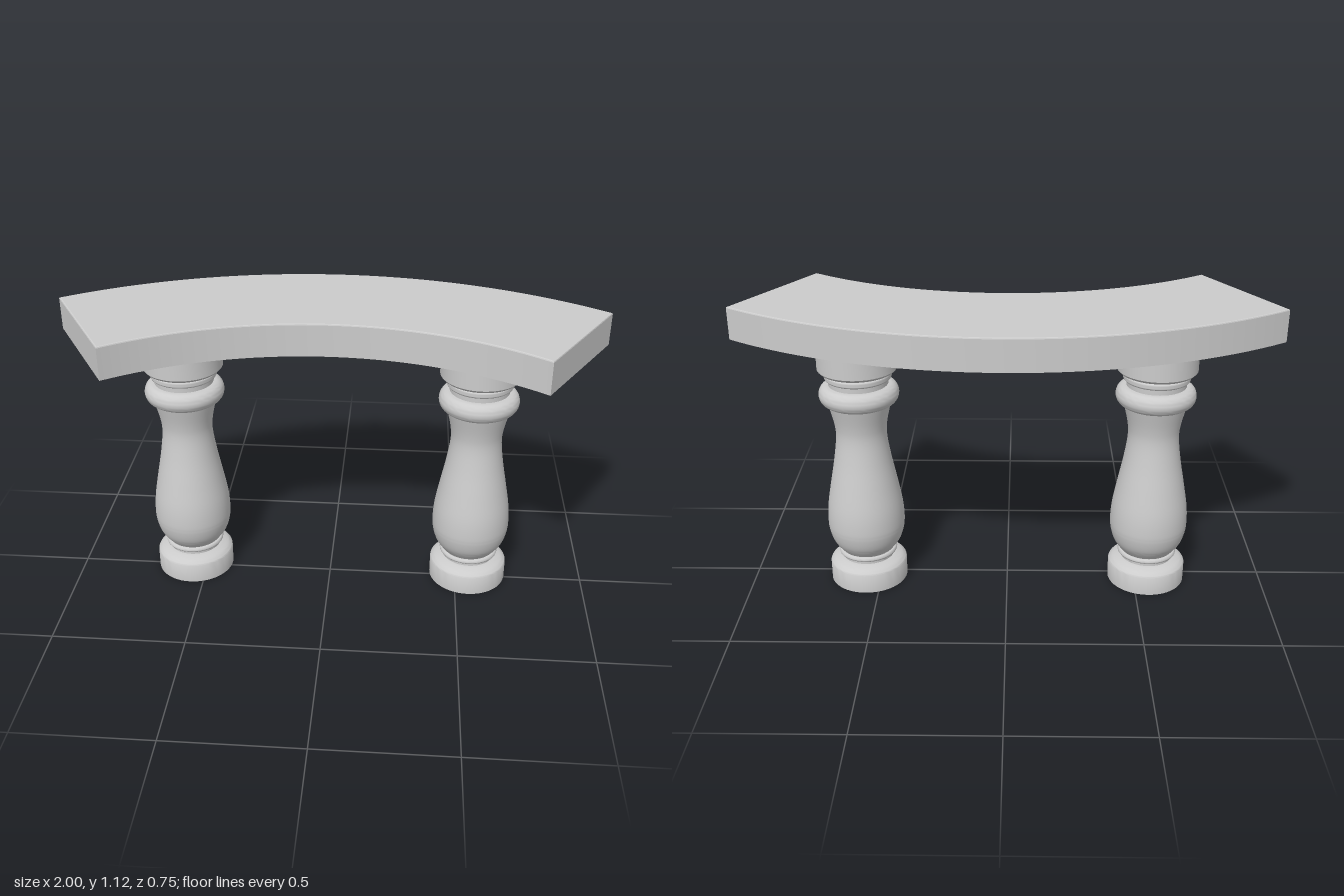
import * as THREE from 'three';
import { toCreasedNormals } from 'three/addons/utils/BufferGeometryUtils.js';

const material = new THREE.MeshStandardMaterial({ color: 0xcccccc });

// Curved slab between two concentric arcs, with a fine bevel on the upper edge
function createSeat() {
  const centre = -1.37, outerR = 1.745, innerR = 1.25;
  const outerA = Math.acos(1 / outerR), innerA = Math.acos(0.75 / innerR);
  const shape = new THREE.Shape();
  shape.absarc(0, centre, outerR, outerA, Math.PI - outerA, false);
  shape.absarc(0, centre, innerR, Math.PI - innerA, innerA, true);

  const bottom = 1.0, top = 1.123, bevel = 0.005;
  const geometry = new THREE.ExtrudeGeometry(shape, {
    depth: top - bottom - bevel, curveSegments: 64,
    bevelEnabled: true, bevelThickness: bevel, bevelSize: bevel, bevelOffset: -bevel, bevelSegments: 2,
  });
  geometry.rotateX(-Math.PI / 2);
  geometry.translate(0, bottom, 0);
  // Flatten the lower bevel so the underside keeps a sharp edge
  const pos = geometry.attributes.position;
  for (let i = 0; i < pos.count; i++) pos.setY(i, Math.max(bottom, pos.getY(i)));
  const seat = new THREE.Mesh(toCreasedNormals(geometry, 0.35), material);
  seat.name = 'seat';
  return seat;
}

// Half-round moulding bulging from radius r by depth d
function bead(r, d, y0, y1, steps = 12) {
  return Array.from({ length: steps + 1 }, (_, i) => {
    const a = (i / steps - 0.5) * Math.PI;
    return [r + d * Math.cos(a), (y0 + y1) / 2 + (y1 - y0) / 2 * Math.sin(a)];
  });
}

// Smooth profile through a few points
function smooth(points, steps) {
  return new THREE.SplineCurve(points.map(p => new THREE.Vector2(...p)))
    .getPoints(steps).map(p => [p.x, p.y]);
}

function turned(name, profile) {
  const lathe = new THREE.LatheGeometry(profile.map(p => new THREE.Vector2(...p)), 48);
  const mesh = new THREE.Mesh(toCreasedNormals(lathe, 0.6), material);
  mesh.name = name;
  return mesh;
}

function createLeg(name, x) {
  const leg = new THREE.Group();
  leg.name = name;
  leg.add(
    // Round foot with a softened shoulder
    turned('foot', [[0, 0], [0.149, 0], [0.149, 0.075],
      ...smooth([[0.147, 0.079], [0.133, 0.091], [0.108, 0.1]], 8), [0, 0.1]]),
    // Neck and small ring above the foot
    turned('lowerRing', [[0.1, 0.098], [0.1, 0.113], ...bead(0.104, 0.009, 0.113, 0.132, 8), [0.09, 0.132]]),
    // Vase-shaped shaft
    turned('shaft', smooth([[0.1, 0.13], [0.13, 0.172], [0.145, 0.22], [0.148, 0.265], [0.143, 0.33],
      [0.127, 0.42], [0.108, 0.52], [0.096, 0.61], [0.1, 0.67], [0.118, 0.747]], 48)),
    // Large collar
    turned('collar', [[0.09, 0.745], ...bead(0.115, 0.034, 0.745, 0.821, 16), [0.09, 0.821]]),
    // Neck and small ring below the capital
    turned('upperRing', [[0.111, 0.815], [0.111, 0.842], ...bead(0.116, 0.009, 0.842, 0.868, 8), [0.116, 0.88]]),
    // Capital carrying the seat
    turned('capital', [[0, 0.872], [0.125, 0.872], [0.14, 0.876], [0.149, 0.886], [0.149, 1.0], [0, 1.0]]),
  );
  leg.position.set(x, 0, -0.024);
  return leg;
}

export function createModel() {
  const bench = new THREE.Group();
  bench.name = 'curvedBench';
  bench.add(createSeat(), createLeg('leftLeg', 0.55), createLeg('rightLeg', -0.55));
  return bench;
}
